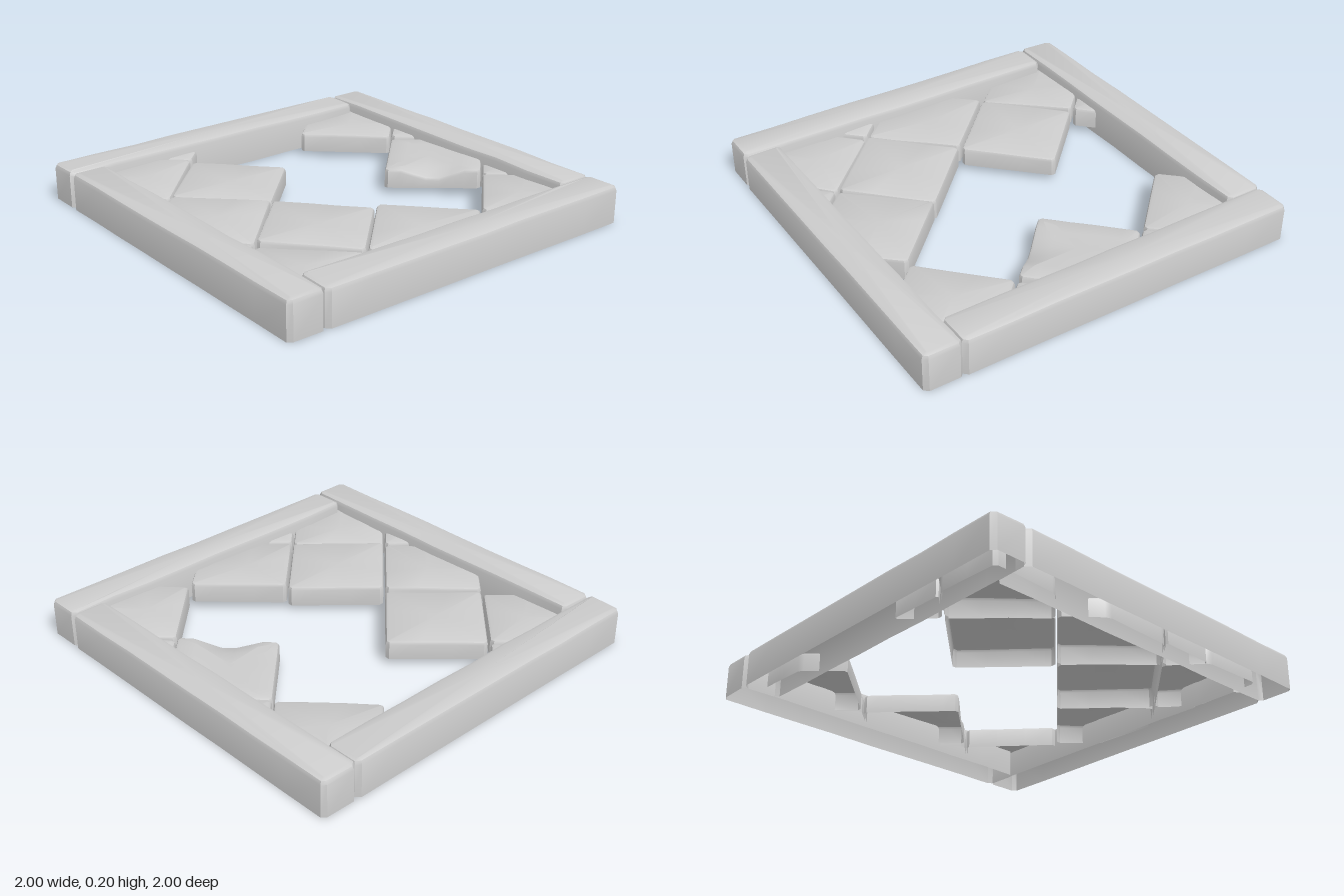
import * as THREE from 'three';
import { toCreasedNormals } from 'three/addons/utils/BufferGeometryUtils.js';

const stone = new THREE.MeshStandardMaterial({ color: 0xcccccc, side: THREE.DoubleSide });

// Seeded noise in -1..1
let seed = 7;
const rnd = () => {
  seed = (seed * 16807) % 2147483647;
  return (seed / 2147483647) * 2 - 1;
};

// Keep the part of a convex outline where axis * sign <= limit
function clip(pts, axis, sign, limit) {
  const out = [];
  pts.forEach((a, i) => {
    const b = pts[(i + 1) % pts.length];
    const da = limit - a[axis] * sign, db = limit - b[axis] * sign;
    if (da >= 0) out.push(a);
    if (da * db < 0) out.push(a.clone().lerp(b, da / (da - db)));
  });
  return out;
}

// Cut the corners of an outline and split its long edges
function weather(pts, cut, step) {
  const out = [];
  pts.forEach((a, i) => {
    const b = pts[(i + 1) % pts.length], len = a.distanceTo(b);
    const c = Math.min(cut, len * 0.3) / len;
    const n = Math.max(1, Math.round((len - 2 * c * len) / step));
    for (let k = 0; k <= n; k++) out.push(a.clone().lerp(b, c + (1 - 2 * c) * (k / n)));
  });
  return out;
}

// Move an outline inward by d
function inset(pts, d) {
  const n = pts.length;
  const normal = (a, b) => new THREE.Vector2(b.y - a.y, a.x - b.x).normalize();
  return pts.map((p, i) => {
    const n1 = normal(pts[(i + n - 1) % n], p), n2 = normal(p, pts[(i + 1) % n]);
    return p.clone().addScaledVector(n1.clone().add(n2), -d / (1 + n1.dot(n2)));
  });
}

// Stone shell, open below: walls, rounded rim and a slightly uneven top
function stoneShell(name, outline, o) {
  const { y0, y1, bevel, rough, tilt = 0, extra, dent } = o;
  const mid = outline.reduce((s, p) => s.add(p), new THREE.Vector2()).divideScalar(outline.length);
  const tx = rnd() * tilt, tz = rnd() * tilt;
  const bump = outline.map(() => rnd() * rough);
  const levels = [[0, y0], [0, y1 - bevel], [bevel * 0.3, y1 - bevel * 0.3], [bevel, y1]];
  if (extra) levels.push([extra, y1]);
  const rings = levels.map(([d, y], level) => inset(outline, d).map((p, i) => {
    const slope = tx * (p.x - mid.x) + tz * (p.y - mid.y);
    const drop = dent && level > 0 ? dent(p) : 0;
    return [p.x, y + slope + (level === 0 ? Math.abs(bump[i]) : bump[i]) - drop, p.y];
  }));
  rings.push(outline.map(() => [mid.x, y1, mid.y]));

  const pos = [];
  for (let r = 0; r < rings.length - 1; r++) {
    for (let i = 0; i < outline.length; i++) {
      const j = (i + 1) % outline.length;
      pos.push(...rings[r][i], ...rings[r + 1][i], ...rings[r][j]);
      if (r < rings.length - 2) pos.push(...rings[r][j], ...rings[r + 1][i], ...rings[r + 1][j]);
    }
  }
  const geo = new THREE.BufferGeometry();
  geo.setAttribute('position', new THREE.Float32BufferAttribute(pos, 3));
  const mesh = new THREE.Mesh(toCreasedNormals(geo, 0.6), stone);
  mesh.name = name;
  return mesh;
}

const V = (x, z) => new THREE.Vector2(x, z);

export function createModel() {
  seed = 7;
  const group = new THREE.Group();
  group.name = 'brokenTileFloor';

  // Frame: four bars, each turned a quarter from the last
  ['backBar', 'leftBar', 'frontBar', 'rightBar'].forEach((name, i) => {
    const rect = [V(-0.998, -1), V(0.808, -1), V(0.808, -0.806), V(-0.998, -0.806)];
    const outline = weather(rect, 0.022, 0.22);
    outline.forEach((p) => {
      p.x += rnd() * 0.003;
      if (p.y > -0.9) p.y += rnd() * 0.004;
    });
    const bar = stoneShell(name, outline, { y0: 0.006, y1: 0.199, bevel: 0.024, rough: 0.003 });
    bar.rotation.y = (i * Math.PI) / 2;
    group.add(bar);
  });

  // Surviving diamond tiles, as lattice steps from the middle
  const step = 0.354, half = 0.347, reach = 0.87;
  const cells = [
    [-2, -2], [0, -2], [2, -2], [-1, -3], [1, -3],
    [2, 0], [-1, 1], [1, 1], [3, 1], [-3, 1],
    [-2, 2], [0, 2], [2, 2], [1, 3],
  ];
  // Chipped edge on the middle back tile
  const chip = (p) => 0.055 * Math.max(0, 1 - Math.hypot(p.x - 0.18, p.y + 0.53) / 0.16);

  const tiles = new THREE.Group();
  tiles.name = 'tiles';
  cells.forEach(([u, v]) => {
    const x = u * step, z = v * step;
    let pts = [V(x + half, z), V(x, z + half), V(x - half, z), V(x, z - half)];
    for (const axis of ['x', 'y']) for (const sign of [1, -1]) pts = clip(pts, axis, sign, reach);
    const chipped = u === 0 && v === -2;
    tiles.add(stoneShell('tile', weather(pts, 0.017, chipped ? 0.07 : 0.16), {
      y0: 0.04, y1: 0.142 + rnd() * 0.006, bevel: 0.017, rough: 0.002, tilt: 0.03,
      extra: chipped ? 0.1 : 0, dent: chipped ? chip : null,
    }));
  });
  group.add(tiles);
  return group;
}
